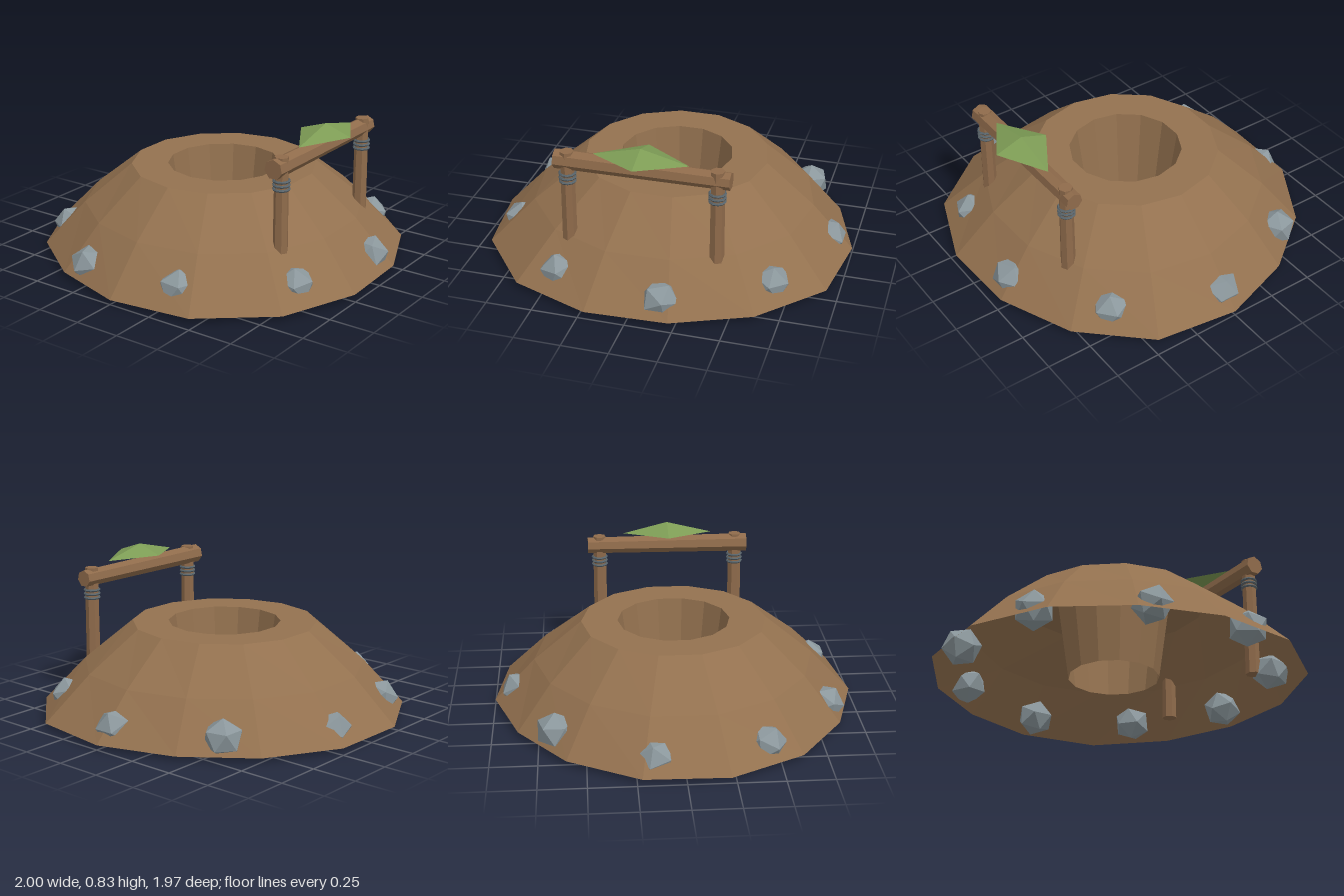
import * as THREE from 'three';

const paint = (name, color, extra = {}) =>
  Object.assign(new THREE.MeshStandardMaterial({ color, flatShading: true, ...extra }), { name });

export function createModel() {
  const model = new THREE.Group();
  const earth = paint('earthBrown', 0x93714f, { side: THREE.DoubleSide });
  const wood = paint('woodBrown', 0x8f6b4b);
  const stone = paint('stoneGrey', 0x8b979c);
  const rope = paint('bindingGrey', 0x59646a);
  const leaf = paint('leafGreen', 0x7d9c55);

  const add = (name, geometry, material, x = 0, y = 0, z = 0) => {
    const mesh = new THREE.Mesh(geometry, material);
    mesh.name = name;
    mesh.position.set(x, y, z);
    model.add(mesh);
    return mesh;
  };

  // Mound: open shell with a flat rim and a tapering shaft, its foot slightly uneven
  const sides = 14;
  const foot = [1, 1.04, 1.005, 0.985, 1.005, 1.045, 1.045, 1, 0.97, 0.995, 1.015, 1.005, 0.97, 0.957];
  const profile = [[1, 0.03], [0.775, 0.27], [0.51, 0.49], [0.31, 0.49], [0.248, 0.05]]
    .map(([r, y]) => new THREE.Vector2(r, y));
  const moundGeo = new THREE.LatheGeometry(profile, sides, Math.PI / 2);
  const pos = moundGeo.attributes.position;
  for (let i = 0; i < pos.count; i++) {
    const x = pos.getX(i), z = pos.getZ(i);
    const k = (Math.round(Math.atan2(z, x) / (2 * Math.PI / sides)) + sides) % sides;
    const weight = Math.max(0, (Math.hypot(x, z) - 0.51) / 0.49);
    const s = 1 + (foot[k] - 1) * weight;
    pos.setX(i, x * s);
    pos.setZ(i, z * s);
  }
  moundGeo.computeVertexNormals();
  add('mound', moundGeo, earth);

  // Stones half buried around the foot
  const stones = 9;
  for (let i = 0; i < stones; i++) {
    const a = i * 2 * Math.PI / stones;
    const geo = new THREE.IcosahedronGeometry(0.108, 0);
    geo.rotateX(i * 1.3);
    geo.rotateY(i * 0.7);
    geo.scale(1, 0.95, 1);
    geo.computeBoundingBox();
    add('stone', geo, stone, 0.86 * Math.cos(a), 0.005 - geo.boundingBox.min.y, 0.86 * Math.sin(a));
  }

  // Posts with three binding rings each
  for (const x of [-0.405, 0.39]) {
    add('post', new THREE.CylinderGeometry(0.037, 0.041, 0.69, 7), wood, x, 0.417, 0.64);
    for (let i = 0; i < 3; i++) {
      const ring = add('bindingRing', new THREE.TorusGeometry(0.04, 0.008, 5, 10), rope, x, 0.592 + i * 0.022, 0.64);
      ring.rotation.x = Math.PI / 2;
    }
  }

  // Crossbeam, a little thinner at its left end
  const beamGeo = new THREE.CylinderGeometry(0.053, 0.047, 0.93, 7);
  beamGeo.rotateY(Math.PI / 2);
  beamGeo.rotateZ(Math.PI / 2);
  add('crossbeam', beamGeo, wood, -0.007, 0.709, 0.633);

  // Leaf canopy: shallow diamond pyramid folded along its length
  const corners = {
    apex: [0, 0.063, 0], left: [0.255, 0, 0], right: [-0.255, 0, 0],
    front: [0, 0.012, 0.15], back: [0, 0.012, -0.15],
  };
  const faces = ['apex front left', 'apex left back', 'apex back right', 'apex right front',
    'left front right', 'left right back'];
  const canopyGeo = new THREE.BufferGeometry();
  canopyGeo.setAttribute('position', new THREE.Float32BufferAttribute(
    faces.flatMap(f => f.split(' ').flatMap(c => corners[c])), 3));
  canopyGeo.computeVertexNormals();
  add('leafCanopy', canopyGeo, leaf, -0.008, 0.772, 0.65);

  return model;
}
